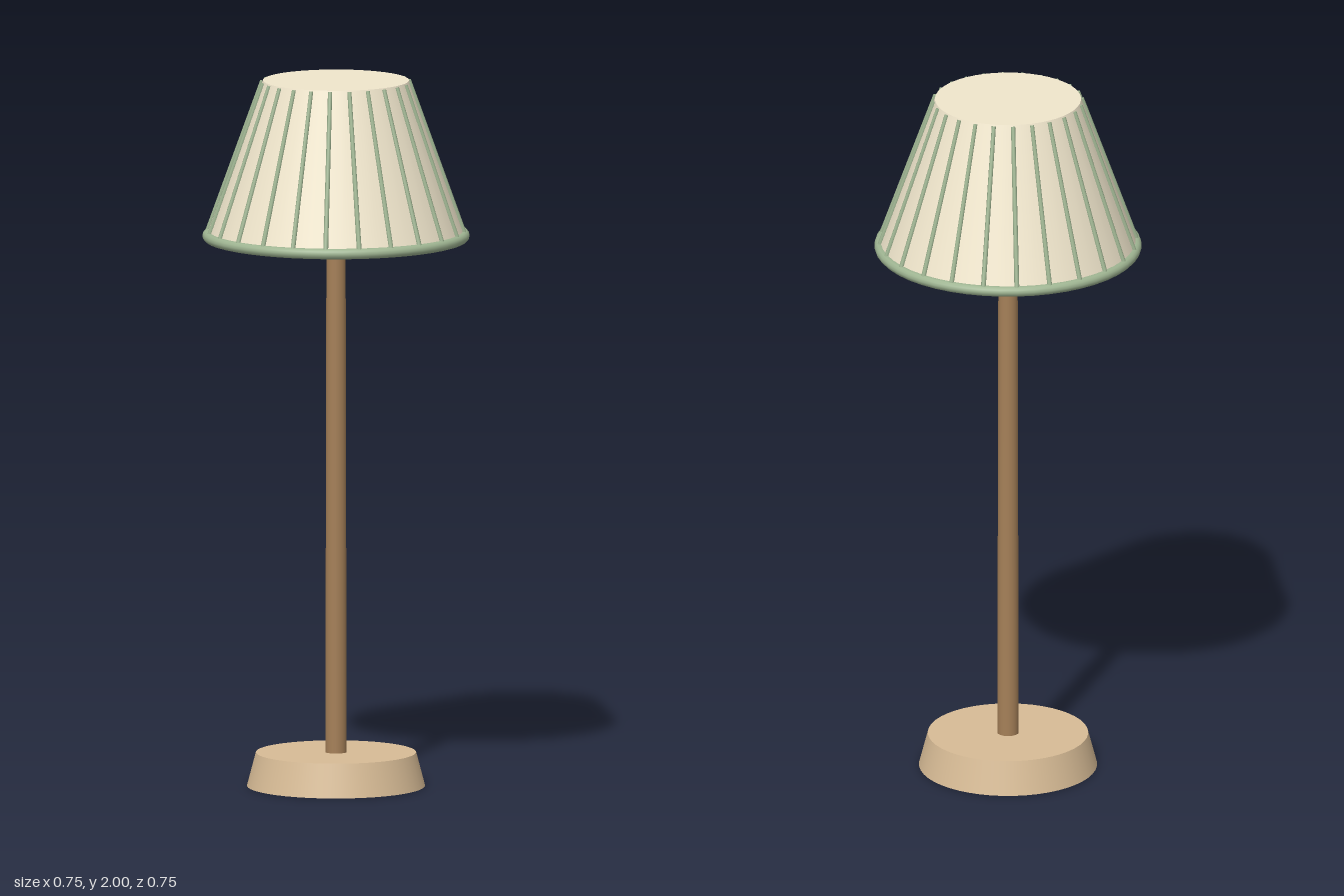
import * as THREE from 'three';

const material = (color) => new THREE.MeshStandardMaterial({ color });

export function createModel() {
  const lamp = new THREE.Group();
  lamp.name = 'tableLamp';
  const baseWood = material(0xd8bc96);
  const poleWood = material(0xa58058);
  const cream = material(0xf0e6cc);
  const green = material(0x9fb592);

  const add = (name, geometry, mat, parent = lamp) => {
    const mesh = new THREE.Mesh(geometry, mat);
    mesh.name = name;
    parent.add(mesh);
    return mesh;
  };

  // Upright tapered solid standing between two heights
  const taper = (name, rTop, rBottom, y0, y1, mat, sides) => {
    const mesh = add(name, new THREE.CylinderGeometry(rTop, rBottom, y1 - y0, sides), mat);
    mesh.position.y = (y0 + y1) / 2;
    return mesh;
  };

  // Foot and pole
  taper('base', 0.225, 0.25, 0, 0.095, baseWood, 48);
  taper('pole', 0.027, 0.03, 0.09, 1.6, poleWood, 24);

  // Closed conical shade
  const shadeBottom = 1.56, shadeTop = 2, rBottom = 0.363, rTop = 0.205;
  taper('shade', rTop, rBottom, shadeBottom, shadeTop, cream, 48);

  // Rolled trim around the lower edge
  const trim = add('shadeTrim', new THREE.TorusGeometry(0.36, 0.015, 12, 48), green);
  trim.rotation.x = Math.PI / 2;
  trim.position.y = shadeBottom;

  // Thin ribs lying along the slope of the shade
  const ribs = new THREE.Group();
  ribs.name = 'shadeRibs';
  lamp.add(ribs);
  const ribCount = 24;
  const slope = Math.atan2(rBottom - rTop, shadeTop - shadeBottom);
  const length = Math.hypot(rBottom - rTop, shadeTop - shadeBottom) - 0.004;
  const ribGeometry = new THREE.CylinderGeometry(0.006, 0.007, length, 8);
  ribGeometry.rotateX(-slope);
  ribGeometry.translate(0, (shadeTop + shadeBottom) / 2 - 0.002, (rTop + rBottom) / 2 + 0.002);
  for (let i = 0; i < ribCount; i++) {
    add('shadeRib', ribGeometry, green, ribs).rotation.y = (i / ribCount) * Math.PI * 2;
  }

  return lamp;
}
